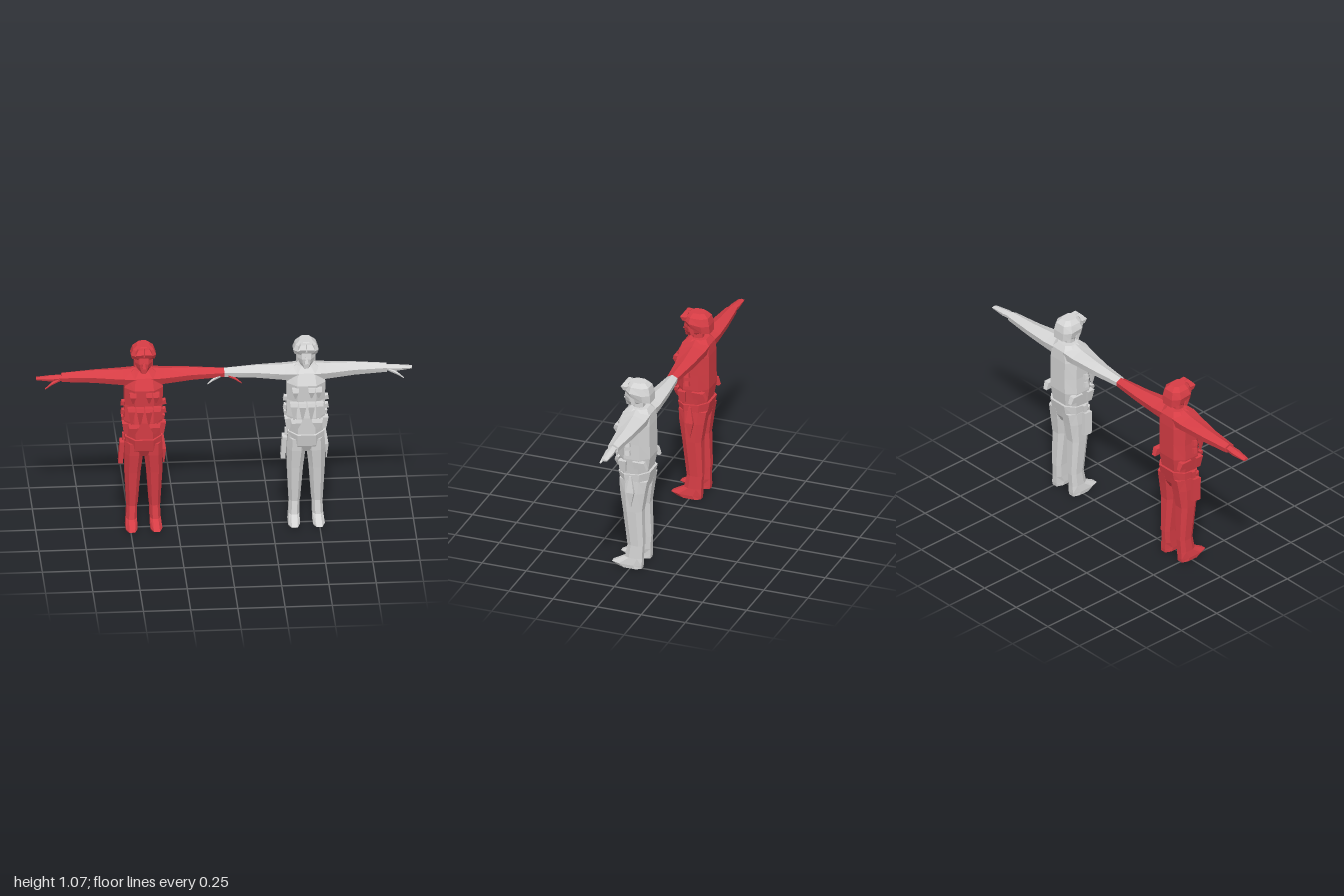
import * as THREE from 'three';

// Flat-shaded skin over a list of equal-sized rings, closed at both ends.
function loft(rings) {
  const tris = [], n = rings[0].length;
  for (let r = 0; r < rings.length - 1; r++) {
    for (let i = 0; i < n; i++) {
      const j = (i + 1) % n, a = rings[r], b = rings[r + 1];
      tris.push([a[i], b[i], b[j]], [a[i], b[j], a[j]]);
    }
  }
  const last = rings[rings.length - 1];
  for (let i = 1; i < n - 1; i++) {
    tris.push([rings[0][0], rings[0][i], rings[0][i + 1]], [last[0], last[i + 1], last[i]]);
  }
  // Turn the skin outwards whichever way the rings run
  const c = new THREE.Vector3(), V = (p) => new THREE.Vector3(...p);
  let volume = 0;
  for (const t of tris) volume += V(t[0]).dot(c.crossVectors(V(t[1]), V(t[2])));
  if (volume < 0) tris.forEach((t) => t.reverse());
  const geo = new THREE.BufferGeometry();
  geo.setAttribute('position', new THREE.Float32BufferAttribute(tris.flat(2), 3));
  geo.computeVertexNormals();
  return geo;
}

// Chamfered outline; u and v run from -1 to 1
const OUTLINE = [[1, -0.5], [1, 0.45], [0.5, 1], [-0.5, 1], [-1, 0.45], [-1, -0.5], [-0.55, -1], [0.55, -1]];
const SQUARE = [[1, -1], [1, 1], [-1, 1], [-1, -1]];
const mix = (a, b, t) => a + (b - a) * (t + 1) / 2;

// Level ring, with an optional slope along z
function ringY(y, x0, x1, z0, z1, slope = 0, shape = OUTLINE) {
  return shape.map(([u, v]) => {
    const z = mix(z0, z1, v);
    return [mix(x0, x1, u), y + slope * z, z];
  });
}

// Upright ring across an arm
const HEX = [[1, 0], [0.35, 1], [-0.6, 0.8], [-1, 0], [-0.5, -0.9], [0.45, -1]];
function ringX(x, y0, y1, z0, z1) {
  return HEX.map(([u, v]) => [x, mix(y0, y1, u), mix(z0, z1, v)]);
}

// Mirrors a ring list to the other side
const mirror = (rings, s) => rings.map((r) => r.map(([x, y, z]) => [x * s, y, z]));

// Pouch that narrows towards its lower end
function pouch(x, top, bottom, w, z0, z1) {
  return loft([
    ringY(bottom, x - w * 0.2, x + w * 0.2, z0, z0 + 0.006, 0, SQUARE),
    ringY(top - 0.02, x - w * 0.85, x + w * 0.85, z0 - 0.005, z1, 0, SQUARE),
    ringY(top, x - w, x + w, z0 - 0.01, z1 - 0.006, 0, SQUARE),
  ]);
}

function makeFigure(material, name) {
  const g = new THREE.Group();
  g.name = name;
  const add = (part, geo) => {
    const m = new THREE.Mesh(geo, material);
    m.name = part;
    g.add(m);
    return m;
  };
  const box = (part, x, y, z, w, h, d, rx = 0, rz = 0) => {
    const m = add(part, new THREE.BoxGeometry(w, h, d));
    m.position.set(x, y, z);
    m.rotation.set(rx, 0, rz);
  };

  // Head, neck and helmet
  add('neck', loft([
    ringY(0.9, -0.03, 0.03, -0.045, 0.015),
    ringY(0.96, -0.028, 0.028, -0.045, 0.015),
  ]));
  add('head', loft([
    ringY(0.938, -0.02, 0.02, -0.03, 0.052, -0.2),
    ringY(0.96, -0.04, 0.04, -0.05, 0.055),
    ringY(0.985, -0.046, 0.046, -0.055, 0.058),
    ringY(1.03, -0.046, 0.046, -0.055, 0.05),
  ]));
  add('nose', loft([
    ringY(0.962, -0.01, 0.01, 0.04, 0.068, 0, SQUARE),
    ringY(0.995, -0.004, 0.004, 0.04, 0.058, 0, SQUARE),
  ]));
  add('helmet', loft([
    ringY(0.993, -0.06, 0.06, -0.092, 0.045, 0.3),
    ringY(1.02, -0.067, 0.067, -0.09, 0.056, 0.1),
    ringY(1.052, -0.054, 0.054, -0.08, 0.046),
    ringY(1.073, -0.032, 0.032, -0.055, 0.025),
  ]));
  for (const s of [1, -1]) {
    add('goggleLens', loft([
      ringY(1.022, s * 0.024 - 0.016, s * 0.024 + 0.016, 0.04, 0.06, 0, SQUARE),
      ringY(1.045, s * 0.022 - 0.022, s * 0.022 + 0.022, 0.035, 0.072, 0, SQUARE),
      ringY(1.068, s * 0.016 - 0.014, s * 0.016 + 0.014, 0.03, 0.055, 0, SQUARE),
    ]));
    box('chinStrap', s * 0.047, 0.975, 0.005, 0.008, 0.05, 0.02, 0.3);
  }

  // Torso and vest
  add('torso', loft([
    ringY(0.56, -0.09, 0.09, -0.085, 0.08, -0.08),
    ringY(0.65, -0.104, 0.1, -0.098, 0.084),
    ringY(0.74, -0.1, 0.1, -0.097, 0.075),
    ringY(0.84, -0.102, 0.102, -0.096, 0.084),
    ringY(0.9, -0.09, 0.09, -0.092, 0.055),
    ringY(0.928, -0.05, 0.05, -0.07, 0.025),
  ]));
  for (const x of [-0.068, -0.023, 0.023, 0.068]) {
    add('magazinePouch', pouch(x, 0.745, 0.645, 0.021, 0.08, Math.abs(x) > 0.05 ? 0.1 : 0.108));
  }
  for (const x of [-0.06, 0.025, 0.062]) add('chestPouch', pouch(x, 0.828, 0.768, 0.018, 0.077, 0.1));
  for (const s of [1, -1]) {
    add('lowerPouch', pouch(s * 0.055, 0.645, 0.585, 0.03, 0.076, 0.092));
    for (const y of [0.74, 0.69]) box('sidePouch', s * 0.108, y, 0.005, 0.022, 0.026, 0.024, 0.15, s * 0.2);
    add('hipPouch', loft([
      ringY(0.605, s * 0.098 - 0.012, s * 0.098 + 0.012, -0.1, -0.03, 0, SQUARE),
      ringY(0.645, s * 0.1 - 0.016, s * 0.1 + 0.016, -0.085, -0.02, 0, SQUARE),
    ]));
    add('frontHipPouch', loft([
      ringY(0.575, s * 0.096 - 0.01, s * 0.096 + 0.01, 0.02, 0.05, 0, SQUARE),
      ringY(0.64, s * 0.1 - 0.016, s * 0.1 + 0.016, 0.015, 0.06, 0, SQUARE),
    ]));
  }

  // Trousers: hips
  add('hips', loft([
    ringY(0.44, -0.06, 0.06, -0.06, 0.045),
    ringY(0.48, -0.096, 0.096, -0.082, 0.068),
    ringY(0.558, -0.098, 0.098, -0.1, 0.082, -0.12),
  ]));

  for (const s of [1, -1]) {
    // Leg and boot
    add('leg', loft(mirror([
      ringY(0.135, 0.03, 0.09, -0.068, 0.022),
      ringY(0.34, 0.015, 0.1, -0.062, 0.046),
      ringY(0.45, 0.002, 0.102, -0.078, 0.063),
      ringY(0.52, 0.002, 0.098, -0.09, 0.068),
    ], s)));
    add('boot', loft(mirror([
      ringY(0, 0.036, 0.095, -0.06, 0.07),
      ringY(0.02, 0.034, 0.097, -0.062, 0.108),
      ringY(0.06, 0.034, 0.092, -0.062, 0.035),
      ringY(0.14, 0.032, 0.088, -0.065, 0.02),
    ], s)));

    // Arm, hand and thumb
    add('arm', loft(mirror([
      ringX(0.04, 0.83, 0.93, -0.095, 0.06),
      ringX(0.11, 0.838, 0.92, -0.095, 0.045),
      ringX(0.26, 0.845, 0.914, -0.085, 0.012),
      ringX(0.43, 0.852, 0.905, -0.066, -0.006),
    ], s)));
    add('hand', loft(mirror([
      ringX(0.42, 0.862, 0.895, -0.055, -0.012),
      ringX(0.48, 0.858, 0.892, -0.06, -0.01),
      ringX(0.565, 0.868, 0.88, -0.056, -0.024),
    ], s)));
    add('thumb', loft(mirror([
      ringX(0.44, 0.862, 0.885, -0.035, -0.01),
      ringX(0.485, 0.846, 0.862, -0.022, 0),
      ringX(0.52, 0.828, 0.834, -0.004, 0.006),
    ], s)));
  }

  // Thigh gear: holster on the right, sheath on the left
  box('holster', -0.118, 0.455, 0.005, 0.024, 0.13, 0.05, 0.08, -0.06);
  box('holsterStrap', -0.106, 0.535, 0, 0.012, 0.05, 0.022);
  add('sheath', loft([
    ringY(0.375, 0.106, 0.112, -0.012, -0.006, 0, SQUARE),
    ringY(0.46, 0.1, 0.12, -0.03, 0.012, 0, SQUARE),
    ringY(0.55, 0.098, 0.106, -0.012, 0, 0, SQUARE),
  ]));
  return g;
}

export function createModel() {
  const model = new THREE.Group();
  model.name = 'soldierPair';
  const red = new THREE.MeshStandardMaterial({ color: 0xd63d45 });
  red.name = 'red';
  const grey = new THREE.MeshStandardMaterial({ color: 0xd4d4d4 });
  grey.name = 'lightGrey';
  const a = makeFigure(red, 'redSoldier');
  a.position.x = -0.43;
  const b = makeFigure(grey, 'greySoldier');
  b.position.x = 0.43;
  model.add(a, b);
  return model;
}
